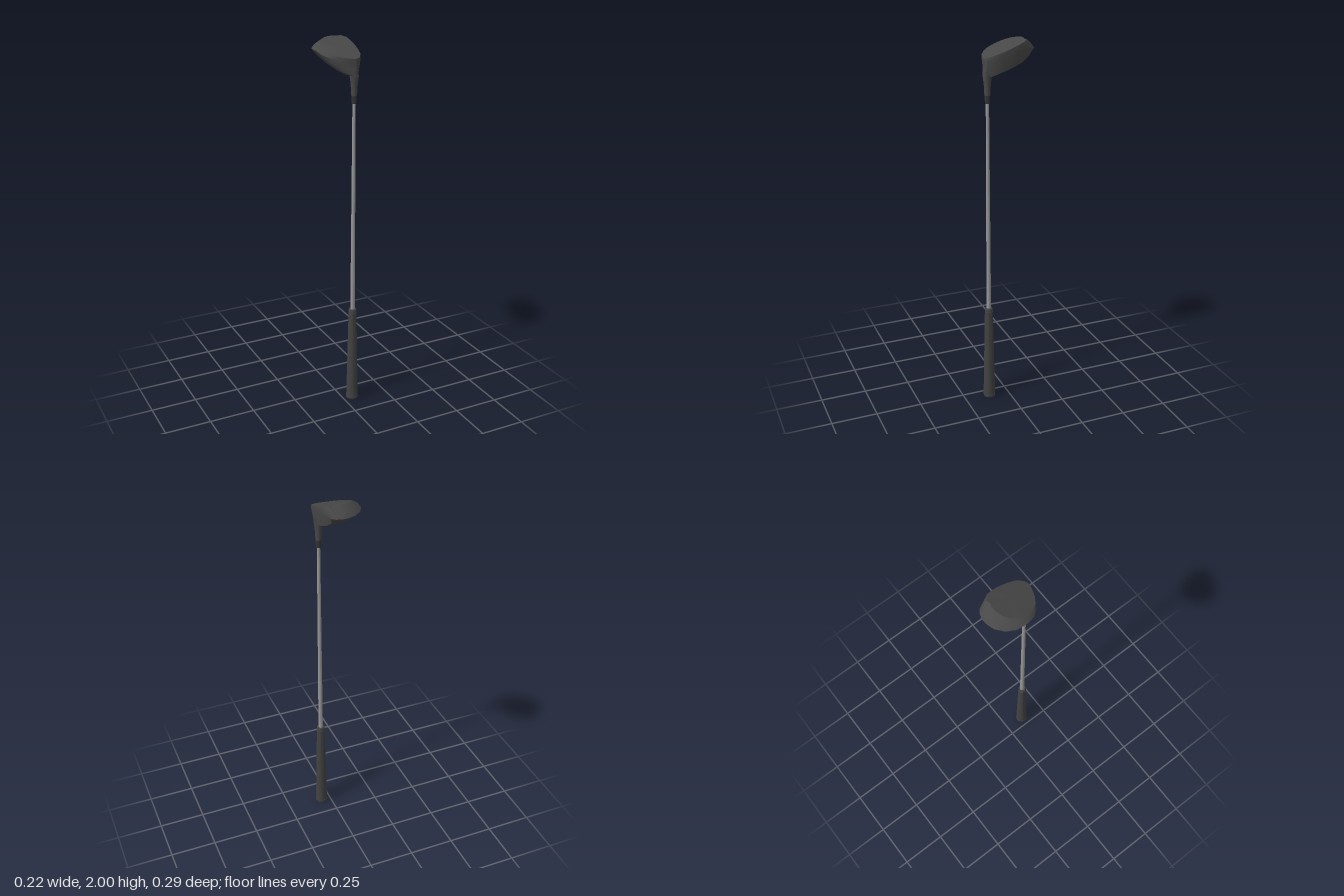
import * as THREE from 'three';
import { toCreasedNormals } from 'three/addons/utils/BufferGeometryUtils.js';

const AXIS = { x: 0.052, z: 0.111 }; // shaft axis in plan
const lerp = THREE.MathUtils.lerp;

// Widest outline of the head in plan: x, z, and how much the point belongs to the flat face
const RIM = [
  [0.107, 0, 1], [0.105, -0.03, 1], [0.099, -0.065, 1], [0.079, -0.122, 0.4], [0.06, -0.138, 0],
  [0.03, -0.147, 0], [0, -0.145, 0], [-0.04, -0.133, 0], [-0.08, -0.1, 0], [-0.104, -0.055, 0],
  [-0.108, 0, 0], [-0.095, 0.048, 0], [-0.073, 0.078, 0], [-0.03, 0.108, 0], [0.02, 0.127, 0],
  [0.053, 0.134, 0], [0.08, 0.122, 0.3], [0.095, 0.095, 1], [0.104, 0.05, 1],
];
const FRONT = 15; // outline point directly in front of the shaft axis

const soleY = (z) => Math.min(2, 1.967 - 0.365 * z);

// One column of the head, running from the sole edge over the rim and crown into the neck
function headColumn([x, z, f], i) {
  const inset = 0.2 * (1 - f);
  const sx = lerp(x, 0.04, inset), sz = lerp(z, 0.134, inset);
  const rimY = Math.min(1.95, soleY(z) - 0.015);
  const mid = [lerp(lerp(sx, x, 0.65), x, f), lerp(soleY(sz), rimY, 0.5), lerp(sz, z, 0.65)];
  // crown edge: tucked under the rim, or at the foot of the face
  const edge = [
    lerp(lerp(x, AXIS.x, 0.1), x - 0.016, f),
    lerp(rimY - 0.025, 1.864 - 0.38 * z, f),
    lerp(lerp(z, AXIS.z, 0.1), z, f),
  ];
  const a = -Math.PI / 2 + (2 * Math.PI * (i - FRONT)) / RIM.length;
  const neck = (r, y) => [AXIS.x + r * Math.cos(a), y, AXIS.z - r * Math.sin(a)];
  const root = neck(0.024, 1.833);
  const crown = [0.2, 0.42, 0.64, 0.84].map((t) => [
    lerp(edge[0], root[0], t),
    lerp(edge[1], root[1], 1 - (1 - t) ** 1.6),
    lerp(edge[2], root[2], t),
  ]);
  return [[sx, soleY(sz), sz], mid, [x, rimY, z], edge, ...crown, root,
    neck(0.02, 1.805), neck(0.0175, 1.78), neck(0.015, 1.73)];
}

function headGeometry() {
  const columns = RIM.map(headColumn);
  const n = columns.length, rows = columns[0].length;
  const positions = columns.flat(2);
  const index = [];
  for (let i = 0; i < n; i++) {
    const j = (i + 1) % n;
    for (let r = 0; r < rows - 1; r++) {
      const a = i * rows + r, b = j * rows + r;
      index.push(a, a + 1, b + 1, a, b + 1, b);
    }
    index.push(n * rows, i * rows, j * rows); // sole
  }
  positions.push(0.03, soleY(0.02), 0.02);
  const geo = new THREE.BufferGeometry();
  geo.setAttribute('position', new THREE.Float32BufferAttribute(positions, 3));
  geo.setIndex(index);
  return toCreasedNormals(geo, 0.6);
}

// Turned part on the shaft axis, from [radius, height] pairs going up
function turned(name, profile, material, sides = 20) {
  const points = profile.map(([r, y]) => new THREE.Vector2(r, y));
  const mesh = new THREE.Mesh(toCreasedNormals(new THREE.LatheGeometry(points, sides), 0.6), material);
  mesh.name = name;
  mesh.position.set(AXIS.x, 0, AXIS.z);
  return mesh;
}

export function createModel() {
  const paint = (name, color) => {
    const m = new THREE.MeshStandardMaterial({ color });
    m.name = name;
    return m;
  };
  const headGrey = paint('head grey', 0x484848);
  const rubber = paint('grip rubber', 0x424242);
  const steel = paint('shaft steel', 0x969696);
  const black = paint('ferrule black', 0x343434);

  const model = new THREE.Group();
  model.name = 'golfClub';

  const head = new THREE.Mesh(headGeometry(), headGrey);
  head.name = 'head';
  model.add(head);

  model.add(turned('ferrule', [[0, 1.69], [0.0125, 1.69], [0.0145, 1.73], [0.0145, 1.735], [0, 1.735]], black));
  model.add(turned('shaft', [[0.0125, 0.53], [0.0085, 1.7]], steel));

  // Tapered grip with a groove near each end
  model.add(turned('grip', [
    [0, 0.004], [0.012, 0.004], [0.014, 0], [0.031, 0], [0.033, 0.004], [0.033, 0.014], [0.031, 0.015],
    [0.031, 0.019], [0.0325, 0.02], [0.0275, 0.25], [0.022, 0.528], [0.0205, 0.529], [0.0205, 0.533],
    [0.022, 0.534], [0.0215, 0.546], [0.019, 0.55], [0, 0.55],
  ], rubber));

  return model;
}
